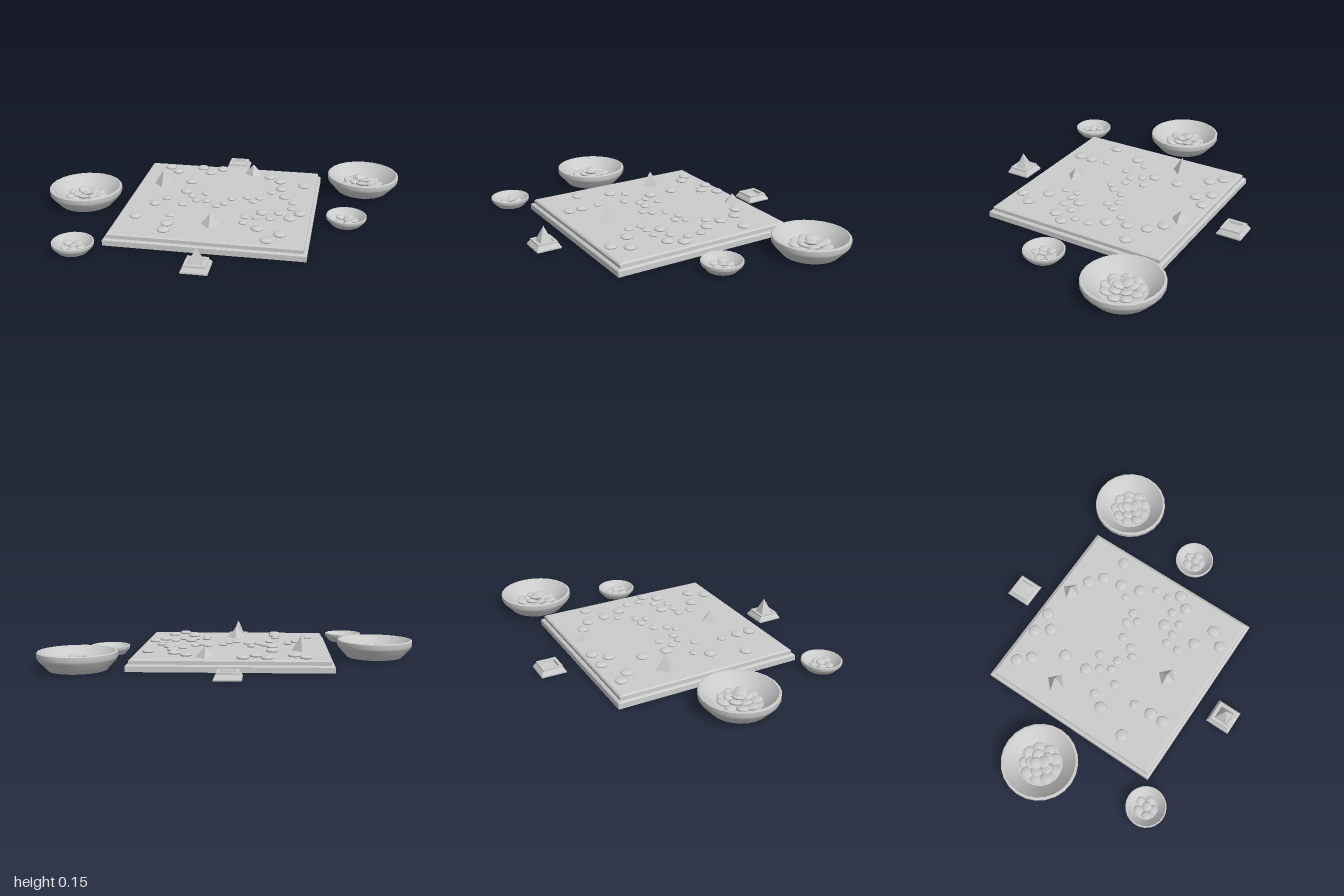
import * as THREE from 'three';
import { toCreasedNormals } from 'three/addons/utils/BufferGeometryUtils.js';

const grey = new THREE.MeshStandardMaterial({ color: 0xcccccc });
const facet = new THREE.MeshStandardMaterial({ color: 0xcccccc, flatShading: true });

function add(parent, name, geometry, x = 0, y = 0, z = 0, material = facet) {
  const mesh = new THREE.Mesh(geometry, material);
  mesh.name = name;
  mesh.position.set(x, y, z);
  parent.add(mesh);
  return mesh;
}

// Square solid of revolution; profile radii are half-widths of the square
function squareLathe(profile) {
  const pts = profile.map(([half, y]) => new THREE.Vector2(half * Math.SQRT2, y));
  return new THREE.LatheGeometry(pts, 4, Math.PI / 4).toNonIndexed();
}

// Flattened round stone
const stoneGeometry = new THREE.SphereGeometry(1, 16, 10);
function stone(parent, x, y, z, r, tiltX = 0, tiltZ = 0) {
  const s = add(parent, 'stone', stoneGeometry, x, y, z, grey);
  s.scale.set(r, r * 0.36, r);
  s.rotation.set(tiltX, 0, tiltZ);
}

// Open bowl with a banded rim and a sloping inside
const bowlProfile = [[0, 0], [0.152, 0], [0.204, 0.058], [0.209, 0.07], [0.209, 0.094],
  [0.205, 0.098], [0.196, 0.098], [0.188, 0.088], [0.122, 0.028], [0, 0.024]]
  .map(([r, y]) => new THREE.Vector2(r, y));
const bowlGeometry = toCreasedNormals(new THREE.LatheGeometry(bowlProfile, 24), 0.5);

function bowl(parent, name, x, z, scale, stoneRadius, rings) {
  const g = new THREE.Group();
  g.name = name;
  g.position.set(x, 0, z);
  add(g, 'dish', bowlGeometry, 0, 0, 0, grey).scale.setScalar(scale);
  // Stones heaped in rings: [count, ring radius, height, tilt]
  rings.forEach(([count, radius, y, tilt], k) => {
    for (let i = 0; i < count; i++) {
      const a = (i / count) * Math.PI * 2 + k * 0.4;
      const lift = (i % 2) * 0.006;
      stone(g, Math.cos(a) * radius, y + lift, Math.sin(a) * radius, stoneRadius,
        -Math.sin(a) * tilt, Math.cos(a) * tilt);
    }
  });
  parent.add(g);
}

// Stepped square pedestal with a recessed top
const standGeometry = squareLathe([[0, 0], [0.07, 0], [0.07, 0.008], [0.056, 0.03],
  [0.056, 0.038], [0.04, 0.038], [0.037, 0.024], [0, 0.024]]);

export function createModel() {
  const model = new THREE.Group();
  model.name = 'boardGame';

  // Board with stepped, bevelled border
  add(model, 'board', squareLathe([[0, 0], [0.535, 0], [0.535, 0.03], [0.527, 0.037],
    [0.518, 0.037], [0.518, 0.056], [0.51, 0.063], [0, 0.063]]));

  // Stones in play: x, z pairs
  const large = [-.39, -.45, -.33, -.39, -.19, -.47, -.13, -.40, -.065, -.47, .235, -.39,
    .305, -.33, .45, -.285, .325, -.22, .355, -.11, -.215, -.24, -.215, -.095, -.355, .1,
    -.42, .285, -.23, .35, -.23, .43, .255, .125, .41, .175, .46, .105, .255, .33, .38, .38, .32, .46];
  const small = [-.17, -.035, -.1, -.08, -.135, .025, -.075, .025, -.305, .025, -.2, .09,
    -.01, .08, .03, .04, .06, -.03, .145, -.065, .215, -.065, .185, -.015, .275, -.155,
    .41, -.03, .41, .05, .345, .12, .17, .195, .23, .195, .305, .195, .17, .27, -.235, .245];
  const stones = new THREE.Group();
  stones.name = 'playedStones';
  model.add(stones);
  [[large, 0.034], [small, 0.025]].forEach(([list, r]) => {
    for (let i = 0; i < list.length; i += 2) stone(stones, list[i], 0.069, list[i + 1], r);
  });

  // Pyramids on the board, corners along the axes: x, z, height
  [[0.13, -0.44, 0.06], [-0.375, -0.19, 0.087], [0, 0.31, 0.06]].forEach(([x, z, h]) =>
    add(model, 'pyramid', new THREE.ConeGeometry(0.054, h, 4), x, 0.063 + h / 2, z));

  // Pedestals front and back; the front one holds a pyramid
  for (const z of [0.69, -0.69]) add(model, 'pedestal', standGeometry, 0, 0, z);
  const top = new THREE.ConeGeometry(0.038 * Math.SQRT2, 0.094, 4);
  add(model, 'pedestalPyramid', top, 0, 0.071, 0.69).rotation.y = Math.PI / 4;

  // Bowls of spare stones
  const bigHeap = [[9, 0.084, 0.037, 0.2], [5, 0.045, 0.046, 0.25], [2, 0.02, 0.062, 0.3]];
  const smallHeap = [[5, 0.042, 0.022, 0.15], [1, 0.008, 0.03, 0.2]];
  bowl(model, 'largeBowlRight', -0.793, 0.003, 1, 0.034, bigHeap);
  bowl(model, 'largeBowlLeft', 0.789, -0.468, 1, 0.034, bigHeap);
  bowl(model, 'smallBowlRight', -0.667, 0.61, 0.53, 0.025, smallHeap);
  bowl(model, 'smallBowlLeft', 0.713, 0.043, 0.53, 0.025, smallHeap);

  return model;
}
